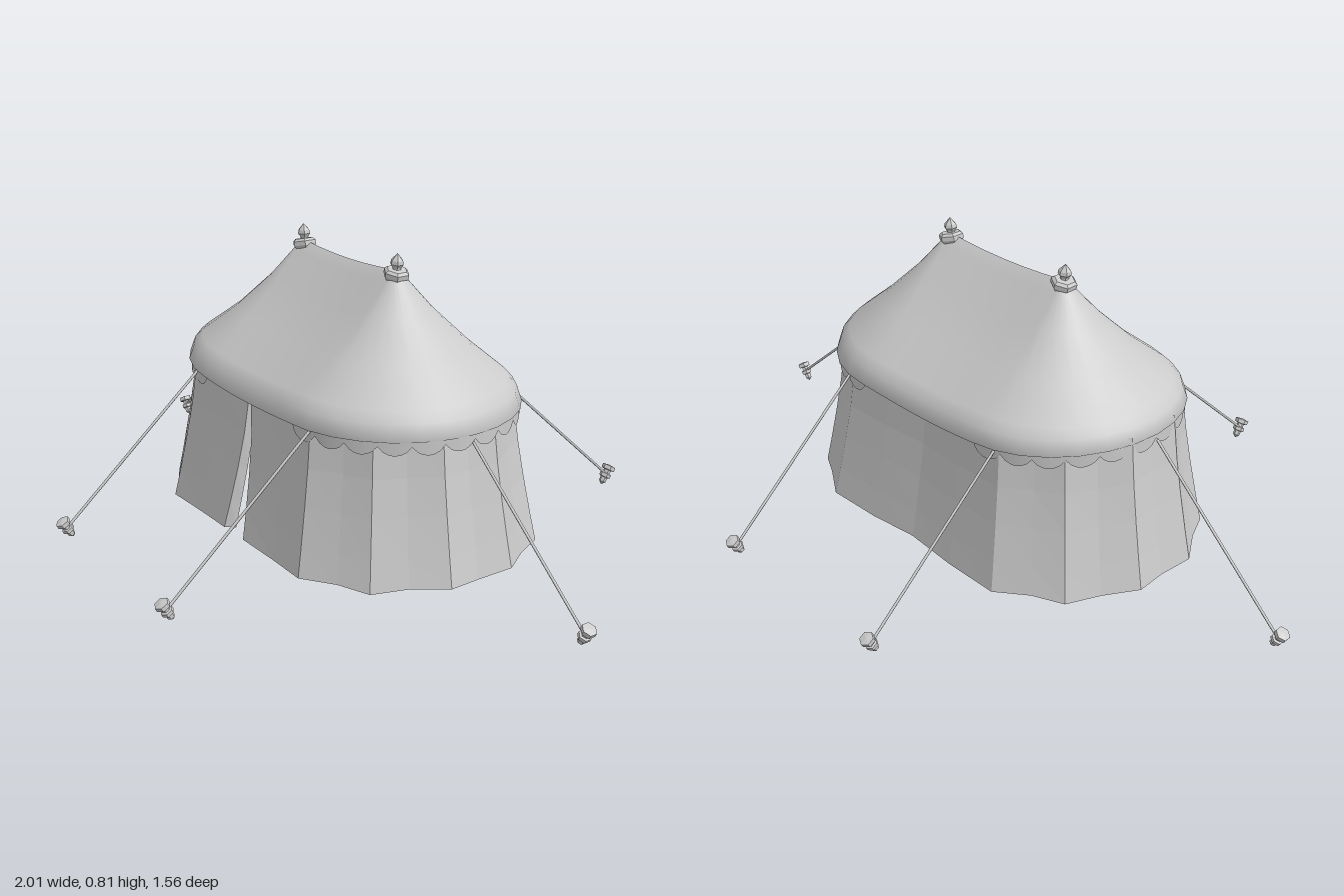
import * as THREE from 'three';

const cloth = new THREE.MeshStandardMaterial({ color: 0xcccccc, side: THREE.DoubleSide });
const pleated = new THREE.MeshStandardMaterial({ color: 0xcccccc, side: THREE.DoubleSide, flatShading: true });
const solid = new THREE.MeshStandardMaterial({ color: 0xcccccc, flatShading: true });
const PEAKS = [0.225, -0.21];
const V = (x, y, z) => new THREE.Vector3(x, y, z);

// Skin between rows of points listed from top to bottom
function sheet(rows, closed) {
  const n = rows[0].length, index = [];
  for (let r = 0; r < rows.length - 1; r++) {
    for (let i = 0; i < (closed ? n : n - 1); i++) {
      const j = (i + 1) % n, a = r * n + i, b = r * n + j;
      index.push(a, b, a + n, b, b + n, a + n);
    }
  }
  const g = new THREE.BufferGeometry().setFromPoints(rows.flat());
  g.setIndex(index);
  g.computeVertexNormals();
  return g;
}

function add(parent, name, geometry, material) {
  const m = new THREE.Mesh(geometry, material);
  m.name = name;
  parent.add(m);
  return m;
}

// Extra height of the eave, which rises toward the left-hand end
const eaveLift = x => 0.03 * Math.max(0, -x / 0.55) ** 2;

// Oblong ring: two half circles around the peaks joined by straight sides
function roofRing(r, y) {
  const pts = [], arc = 14, straight = 6;
  for (let e = 0; e < 2; e++) {
    for (let i = 0; i <= arc; i++) {
      const a = Math.PI * (i / arc - 0.5 + e);
      pts.push([PEAKS[e] + r * Math.cos(a), r * Math.sin(a)]);
    }
    for (let i = 1; i < straight; i++) {
      const x = THREE.MathUtils.lerp(PEAKS[e], PEAKS[1 - e], i / straight);
      pts.push([x, e ? -r : r]);
    }
  }
  const w = r / 0.34;
  return pts.map(([x, z]) => {
    const sag = 0.012 * Math.max(0, 1 - (x / 0.22) ** 2);
    return V(x, y + w ** 3 * eaveLift(x) - sag * (1 - 0.5 * w), z);
  });
}

function makeWalls() {
  // Half of the hem outline, from the entrance to the middle of the back
  const half = [[0.035, 0.355], [0.05, 0.385], [0.19, 0.375], [0.33, 0.385], [0.42, 0.325], [0.5, 0.28],
    [0.545, 0.19], [0.605, 0.1], [0.592, 0], [0.605, -0.1], [0.545, -0.19], [0.5, -0.28],
    [0.42, -0.325], [0.33, -0.382], [0.16, -0.378]];
  const plan = [...half.map(([x, z]) => [-x, z]), [0, -0.37], ...half.slice().reverse()];
  const rows = [0, 0.3, 0.55, 0.8, 1].map(t => {
    const flare = t ** 1.25;
    return plan.map(([x, z], i) => {
      let sx = THREE.MathUtils.lerp(0.885, 1, flare);
      const sz = THREE.MathUtils.lerp(0.825, 1, flare);
      // The two flaps meet at the top of the entrance
      if (i < 2) sx = 0.05 + 0.85 * t ** 1.4;
      if (i > plan.length - 3) sx = 0.05 + 1.05 * t ** 0.7;
      const hem = 0.02 + 0.005 * Math.sin(i * 2.2);
      const top = 0.425 + eaveLift(x) * 0.8;
      return V(x * sx, THREE.MathUtils.lerp(top, hem, t), z * sz);
    });
  });
  return sheet(rows, false);
}

// Scalloped border hanging around one end
function makeValance(end) {
  const count = 12, per = 6, r = 0.331, cx = PEAKS[end], dir = end ? -1 : 1;
  const top = [], bottom = [];
  for (let i = 0; i <= count * per; i++) {
    const s = i / (count * per);
    const a = Math.PI * (s - 0.5 + end);
    const x = cx + r * Math.cos(a) + dir * 0.005;
    const z = r * Math.sin(a);
    const y = 0.41 + eaveLift(x);
    const drop = 0.016 + 0.024 * Math.abs(Math.sin(Math.PI * i / per)) ** 0.7;
    top.push(V(x, y, z));
    bottom.push(V(x, y - drop, z));
  }
  return sheet([top, bottom], false);
}

function lathe(points, sides) {
  return new THREE.LatheGeometry(points.map(([x, y]) => new THREE.Vector2(x, y)), sides);
}

function makeFinial(x) {
  const g = new THREE.Group();
  g.name = 'finial';
  const lean = x > 0 ? -0.22 : 0.22;
  const collar = add(g, 'finialCollar',
    lathe([[0, -0.014], [0.03, -0.014], [0.036, -0.006], [0.036, 0.006], [0.028, 0.013], [0, 0.014]], 6), solid);
  collar.rotation.z = lean;
  const knob = add(g, 'finialKnob',
    lathe([[0.012, 0], [0.012, 0.017], [0.019, 0.027], [0.017, 0.037], [0.009, 0.046], [0, 0.056]], 6), solid);
  knob.rotation.z = lean * 0.4;
  g.position.set(x, 0.75, 0);
  return g;
}

// Rope from the eave to a peg leaning outward
function makeGuyLine(from, foot) {
  const g = new THREE.Group();
  g.name = 'guyLine';
  const path = new THREE.LineCurve3(from, foot);
  add(g, 'rope', new THREE.TubeGeometry(path, 1, 0.004, 6), cloth);
  const out = V(foot.x - from.x, 0, foot.z - from.z).normalize();
  const peg = add(g, 'peg', lathe([[0, -0.035], [0.01, -0.026], [0.011, -0.012], [0.017, -0.01], [0.017, 0],
    [0.011, 0.002], [0.011, 0.012], [0.02, 0.014], [0.02, 0.026], [0, 0.029]], 6), solid);
  peg.position.copy(foot);
  peg.quaternion.setFromUnitVectors(V(0, 1, 0), out.multiplyScalar(0.6).add(V(0, 1, 0)).normalize());
  return g;
}

export function createModel() {
  const tent = new THREE.Group();
  tent.name = 'tent';

  // Canopy, from the ridge down to the turned-in eave
  const profile = [[0, 0.76], [0.03, 0.735], [0.1, 0.655], [0.2, 0.56], [0.3, 0.477],
    [0.325, 0.45], [0.34, 0.407], [0.322, 0.399]];
  add(tent, 'roof', sheet(profile.map(([r, y]) => roofRing(r, y)), true), cloth);
  add(tent, 'walls', makeWalls(), pleated);
  for (let e = 0; e < 2; e++) {
    add(tent, 'valance', makeValance(e), cloth);
    tent.add(makeFinial(PEAKS[e]));
  }

  // Two guy lines on each long side and one at each end
  for (const x of [-0.28, 0.3]) {
    for (const s of [-1, 1]) tent.add(makeGuyLine(V(x, 0.41, s * 0.32), V(x, 0.03, s * 0.75)));
  }
  tent.add(makeGuyLine(V(-0.55, 0.42, 0), V(-0.978, 0.03, -0.01)));
  tent.add(makeGuyLine(V(0.545, 0.39, 0), V(0.978, 0.03, 0)));
  return tent;
}
